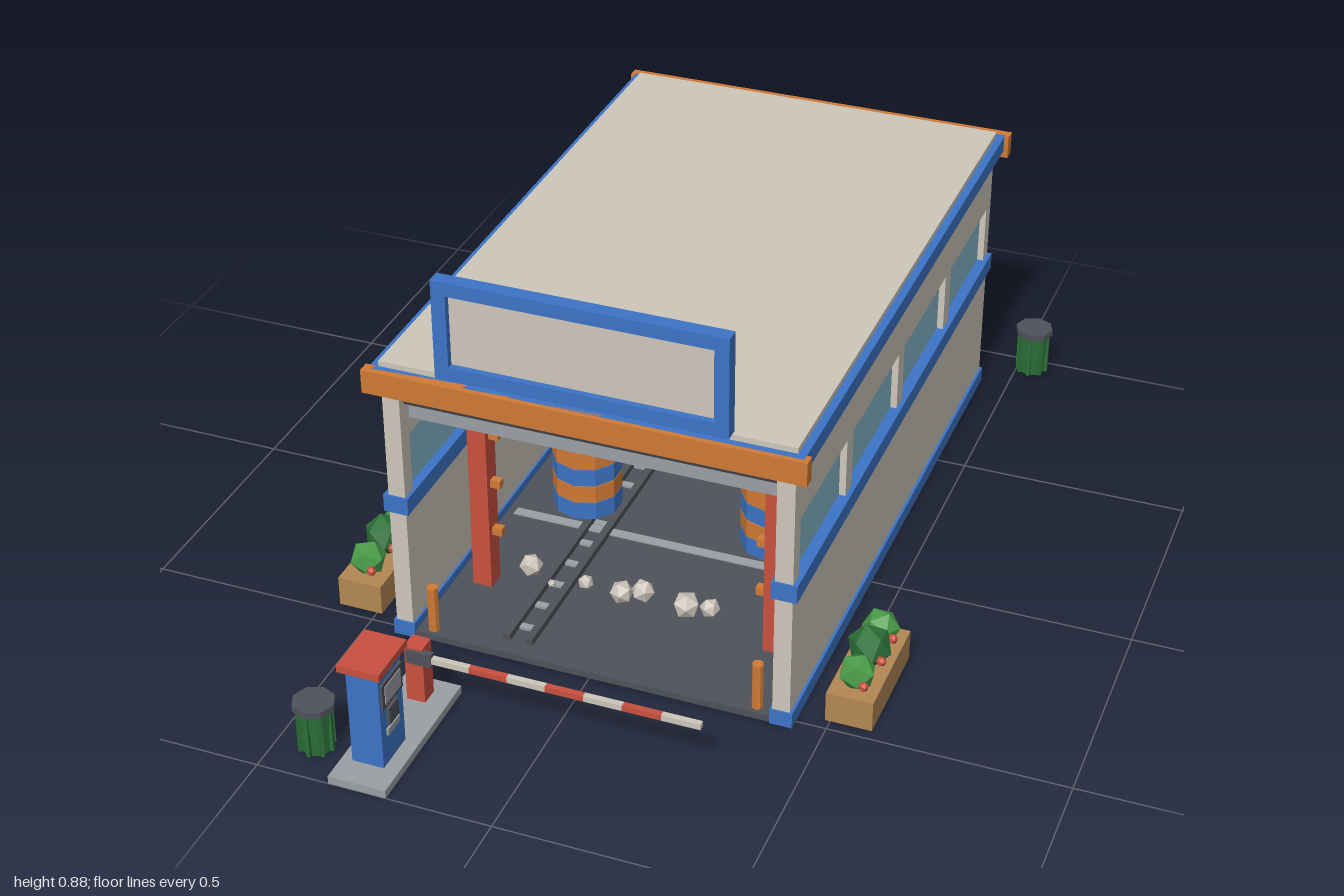
import * as THREE from 'three';

const mat = (name, color) => {
  const m = new THREE.MeshStandardMaterial({ color });
  m.name = name;
  return m;
};

export function createModel() {
  const root = new THREE.Group();
  root.name = 'carWash';
  const cream = mat('cream', 0xcdc6bb), blue = mat('blue', 0x3d74c6), orange = mat('orange', 0xd07a35);
  const dark = mat('darkGrey', 0x50525a), grey = mat('lightGrey', 0x9b9ea3), red = mat('red', 0xc9503f);
  const glass = mat('glass', 0x86b9cc), leaf = mat('leafGreen', 0x4a9c48), bottle = mat('darkGreen', 0x2c7038);
  const wood = mat('wood', 0xb38853);

  const add = (name, geo, m, x, y, z) => {
    const mesh = new THREE.Mesh(geo, m);
    mesh.name = name;
    mesh.position.set(x, y, z);
    root.add(mesh);
    return mesh;
  };
  // box from its limits on each axis
  const box = (name, m, x0, x1, y0, y1, z0, z1) =>
    add(name, new THREE.BoxGeometry(x1 - x0, y1 - y0, z1 - z0), m, (x0 + x1) / 2, (y0 + y1) / 2, (z0 + z1) / 2);
  const flat = (geo) => {
    const g = geo.index ? geo.toNonIndexed() : geo;
    g.computeVertexNormals();
    return g;
  };
  const cyl = (name, m, r0, r1, h, x, y, z, n = 8) =>
    add(name, flat(new THREE.CylinderGeometry(r0, r1, h, n)), m, x, y, z);
  const ball = (name, m, r, x, y, z, turn = 0) => {
    const b = add(name, flat(new THREE.IcosahedronGeometry(r, 0)), m, x, y, z);
    b.rotation.set(turn, turn * 1.7, 0);
    return b;
  };

  // floor, drains and conveyor rails
  const zB = -0.865, zF = 0.52;
  box('floor', dark, -0.43, 0.43, 0, 0.015, zB, zF);
  for (const z of [-0.5, 0.05]) box('drain', grey, -0.37, 0.37, 0.015, 0.018, z - 0.012, z + 0.012);
  for (const x of [-0.2, -0.15]) box('conveyorRail', dark, x - 0.008, x + 0.008, 0.015, 0.03, -0.8, 0.48);
  for (let i = 0; i < 16; i++) {
    const z = -0.77 + i * 0.08;
    box('conveyorTie', grey, -0.19, -0.16, 0.015, 0.021, z - 0.008, z + 0.008);
  }

  // side walls with trim and windows
  for (const s of [-1, 1]) {
    const side = (name, m, xi, xo, y0, y1, z0, z1) =>
      box(name, m, Math.min(s * xi, s * xo), Math.max(s * xi, s * xo), y0, y1, z0, z1);
    side('lowerWall', cream, 0.393, 0.43, 0.01, 0.32, zB, zF);
    side('upperWall', cream, 0.393, 0.43, 0.48, 0.62, zB, zF);
    side('baseTrim', blue, 0.388, 0.436, 0, 0.035, zB - 0.004, zF + 0.004);
    side('sillTrim', blue, 0.386, 0.44, 0.308, 0.347, zB - 0.005, zF + 0.005);
    side('windowPane', glass, 0.406, 0.416, 0.34, 0.485, zB + 0.01, zF - 0.01);
    for (const [a, b] of [[0.485, 0.52], [0.157, 0.197], [-0.192, -0.152], [-0.54, -0.5], [zB, -0.83]])
      side('windowPier', cream, 0.393, 0.43, 0.34, 0.485, a, b);
    for (const z of [-0.84, 0.5]) cyl('bollard', orange, 0.012, 0.012, 0.115, s * 0.355, 0.065, z);
  }

  // roof and end fascias
  box('roofSlab', blue, -0.45, 0.45, 0.613, 0.65, zB - 0.015, zF + 0.015);
  box('roofTop', cream, -0.433, 0.433, 0.645, 0.662, zB, zF);
  for (const [z0, z1] of [[0.52, 0.546], [-0.9, -0.872]]) box('fascia', orange, -0.46, 0.46, 0.598, 0.65, z0, z1);
  // rolled doors over both openings
  for (const s of [-1, 1]) {
    const z = s > 0 ? 0.485 : -0.83;
    box('doorHousing', dark, -0.393, 0.393, 0.585, 0.615, z - 0.03, z + 0.03);
    for (let i = 0; i < 2; i++) {
      const r = cyl('doorRoll', dark, 0.02, 0.02, 0.786, 0, 0.573 + i * 0.016, z + s * 0.012 * i);
      r.rotation.z = Math.PI / 2;
    }
    box('doorBar', grey, -0.386, 0.386, 0.527, 0.556, z - 0.01, z + 0.01);
  }
  for (const z of [-0.45, 0.1]) box('ceilingLight', cream, -0.12, 0.12, 0.603, 0.612, z - 0.04, z + 0.04);

  // blank roof sign
  box('signPanel', cream, -0.285, 0.285, 0.68, 0.865, 0.512, 0.524);
  for (const y of [0.662, 0.85]) box('signRail', blue, -0.302, 0.302, y, y + 0.03, 0.507, 0.538);
  for (const x of [-0.302, 0.272]) box('signStile', blue, x, x + 0.03, 0.662, 0.88, 0.507, 0.538);
  for (const x of [-0.18, 0.18]) box('signPost', dark, x - 0.01, x + 0.01, 0.655, 0.845, 0.488, 0.512);

  // spray arch near the entrance
  for (const s of [-1, 1]) {
    box('sprayPost', red, s * 0.325 - 0.021, s * 0.325 + 0.021, 0.015, 0.56, 0.28, 0.325);
    for (const y of [0.15, 0.27, 0.39]) box('sprayNozzle', orange, s * 0.294 - 0.012, s * 0.294 + 0.012, y - 0.009, y + 0.009, 0.293, 0.311);
  }
  box('sprayBeam', red, -0.346, 0.346, 0.53, 0.57, 0.28, 0.325);
  for (let i = -2; i <= 2; i++) box('sprayNozzle', orange, i * 0.09 - 0.008, i * 0.09 + 0.008, 0.5, 0.532, 0.295, 0.311);

  // foam, on the floor and below the beam
  const foam = [[-0.24, 0.045, 0.026], [-0.185, 0.025, 0.009], [-0.115, 0.033, 0.017], [-0.025, 0.045, 0.026],
    [0.015, 0.045, 0.026], [0.12, 0.05, 0.03], [0.165, 0.04, 0.022],
    [-0.28, 0.505, 0.03], [-0.2, 0.505, 0.027], [-0.165, 0.5, 0.034], [0.055, 0.505, 0.03], [0.17, 0.505, 0.028]];
  foam.forEach(([x, y, r], i) => ball('foam', cream, r, x, y, 0.26 + 0.02 * (i % 2), i));

  // upright brushes: stacked bands of bristles
  for (const s of [-1, 1]) {
    const x = s * 0.218;
    cyl('brushShaft', dark, 0.012, 0.012, 0.59, x, 0.31, 0);
    for (let i = 0; i < 9; i++) cyl('brushBand', i % 2 ? orange : blue, 0.076, 0.076, 0.041, x, 0.071 + i * 0.0428, 0, 10);
  }
  // overhead brush lying across the bay
  const shaft = cyl('overheadShaft', dark, 0.014, 0.014, 0.78, 0, 0.357, -0.42);
  shaft.rotation.z = Math.PI / 2;
  for (let i = -5; i <= 5; i++) {
    const b = cyl('overheadBand', i % 2 ? orange : blue, 0.074, 0.074, 0.042, i * 0.0485, 0.357, -0.42, 10);
    b.rotation.z = Math.PI / 2;
  }
  for (const s of [-1, 1]) box('shaftBearing', orange, s * 0.382 - 0.01, s * 0.382 + 0.01, 0.336, 0.378, -0.44, -0.4);

  // drying arch near the exit
  const blower = (x, y, turn) => {
    const b = cyl('blower', dark, 0.05, 0.028, 0.066, x, y, -0.7, 4);
    b.geometry.rotateY(Math.PI / 4);
    b.rotation.z = turn;
  };
  box('dryerBeam', grey, -0.36, 0.36, 0.525, 0.565, -0.725, -0.675);
  for (const s of [-1, 1]) {
    box('dryerPost', grey, s * 0.34 - 0.02, s * 0.34 + 0.02, 0.015, 0.565, -0.725, -0.675);
    for (const y of [0.14, 0.3]) blower(s * 0.297, y, -s * Math.PI / 2);
  }
  for (const x of [-0.18, 0, 0.18]) blower(x, 0.493, 0);

  // pay island
  box('island', grey, -0.345, -0.222, 0, 0.018, 0.655, 1);
  box('kiosk', blue, -0.322, -0.254, 0.018, 0.24, 0.845, 0.94);
  box('kioskRoof', red, -0.334, -0.244, 0.24, 0.256, 0.832, 0.953);
  box('kioskScreen', dark, -0.255, -0.249, 0.155, 0.215, 0.85, 0.935);
  box('kioskDisplay', grey, -0.25, -0.247, 0.165, 0.206, 0.86, 0.925);
  box('kioskKeypad', dark, -0.255, -0.247, 0.108, 0.147, 0.875, 0.915);
  box('kioskSlot', grey, -0.255, -0.249, 0.085, 0.1, 0.87, 0.92);
  // barrier and striped arm
  box('barrierPost', red, -0.306, -0.266, 0.018, 0.15, 0.69, 0.73);
  box('barrierHub', dark, -0.3, -0.245, 0.115, 0.145, 0.722, 0.737);
  for (let i = 0; i < 7; i++) {
    const x = -0.245 + i * 0.081;
    box('barrierArm', i % 2 ? red : cream, x, x + 0.081, 0.124, 0.137, 0.722, 0.735);
  }

  // ribbed litter bins
  for (const [x, z] of [[-0.415, 0.91], [0.535, -0.96]]) {
    cyl('bin', bottle, 0.037, 0.03, 0.105, x, 0.0525, z);
    cyl('binLid', dark, 0.044, 0.044, 0.014, x, 0.11, z);
    for (let i = 0; i < 8; i++) {
      const a = (i * Math.PI) / 4;
      const rib = box('binRib', bottle, -0.004, 0.004, 0, 0.1, -0.004, 0.004);
      rib.position.set(x + Math.sin(a) * 0.034, 0.053, z + Math.cos(a) * 0.034);
      rib.rotation.y = a;
    }
  }

  // planters with shrubs and flowers
  for (const x of [-0.538, 0.538]) {
    box('planter', wood, x - 0.049, x + 0.049, 0, 0.068, 0.222, 0.475);
    [0.27, 0.347, 0.427].forEach((z, i) =>
      ball('shrub', i === 1 ? bottle : leaf, i === 1 ? 0.047 : 0.04, x, i === 1 ? 0.108 : 0.1, z, i + 0.4));
    for (const [dx, y, z] of [[0.024, 0.095, 0.462], [0.036, 0.105, 0.385], [0.034, 0.1, 0.3]])
      ball('flower', red, 0.011, x + dx, y, z, 0.5);
  }
  return root;
}
